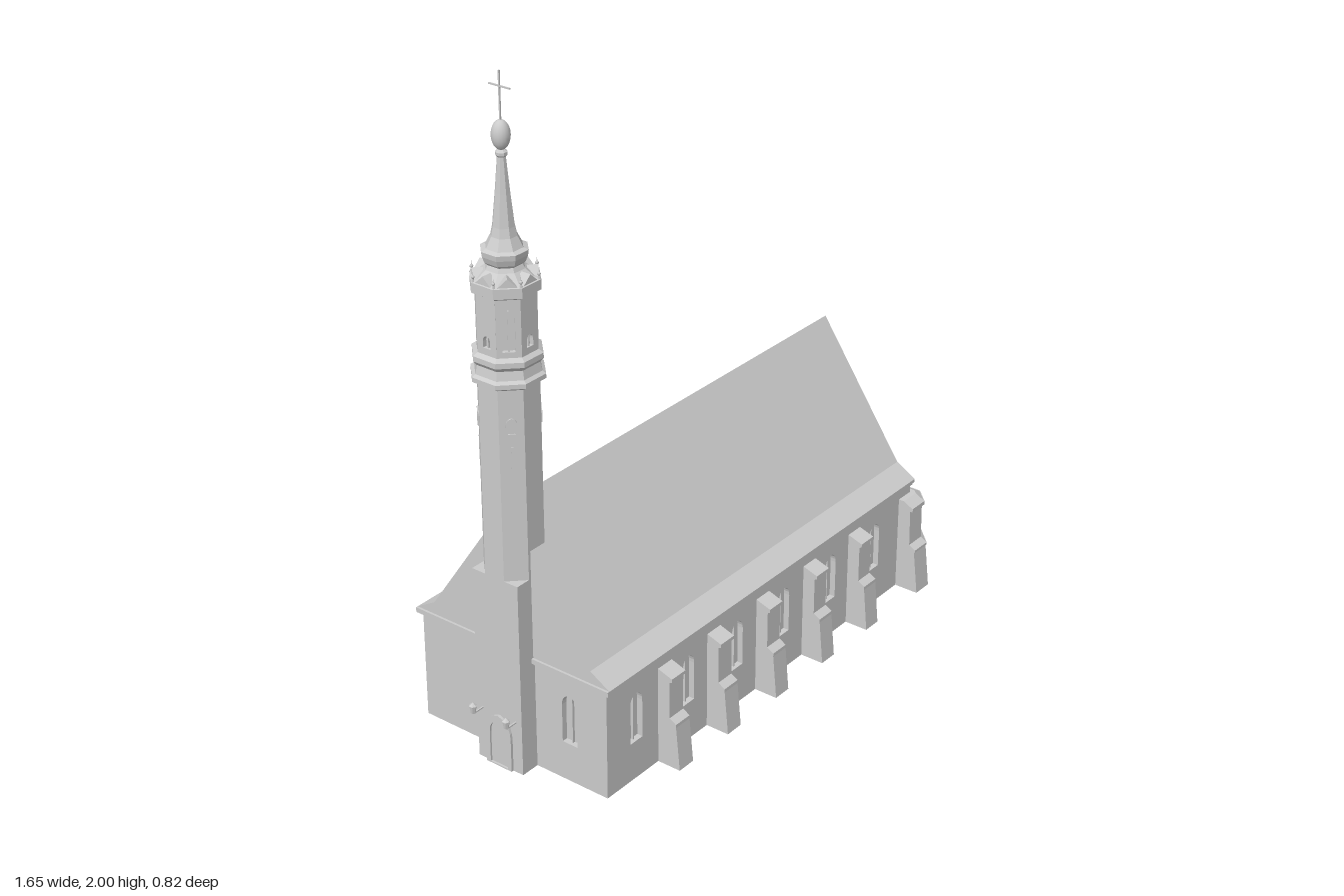
import * as THREE from 'three';
import { ConvexGeometry } from 'three/addons/geometries/ConvexGeometry.js';

const flat = new THREE.MeshStandardMaterial({ color: 0xcccccc, flatShading: true });
const smooth = new THREE.MeshStandardMaterial({ color: 0xcccccc });
const TOWER_X = -0.7;

function add(parent, name, geometry, x = 0, y = 0, z = 0, rotY = 0, material = flat) {
  const mesh = new THREE.Mesh(geometry, material);
  mesh.name = name;
  mesh.position.set(x, y, z);
  mesh.rotation.y = rotY;
  parent.add(mesh);
  return mesh;
}

function box(parent, name, x0, x1, y0, y1, z0, z1) {
  return add(parent, name, new THREE.BoxGeometry(x1 - x0, y1 - y0, z1 - z0),
    (x0 + x1) / 2, (y0 + y1) / 2, (z0 + z1) / 2);
}

const polygon = pts => new THREE.Shape(pts.map(p => new THREE.Vector2(...p)));
const extrude = (shape, depth) =>
  new THREE.ExtrudeGeometry(shape, { depth, bevelEnabled: false, curveSegments: 5 });

// Slightly pointed arch outline, w wide, from y0 up to y1
function arch(Kind, u, w, y0, y1) {
  const h = w / 2, spring = y1 - w * 0.7;
  const p = new Kind();
  p.moveTo(u - h, y0);
  p.lineTo(u + h, y0);
  p.lineTo(u + h, spring);
  p.quadraticCurveTo(u + h, y1 - w * 0.12, u, y1);
  p.quadraticCurveTo(u - h, y1 - w * 0.12, u - h, spring);
  p.closePath();
  return p;
}

// Upright wall panel with arched openings [u, width, bottom, top]; mullions optional
function wall(parent, name, half, y0, y1, t, dist, rotY, openings, mullions) {
  const g = new THREE.Group();
  g.name = name;
  g.rotation.y = rotY;
  const s = polygon([[-half, y0], [half, y0], [half, y1], [-half, y1]]);
  openings.forEach(o => s.holes.push(arch(THREE.Path, ...o)));
  add(g, 'wallPanel', extrude(s, t), 0, 0, dist - t);
  if (mullions) {
    for (const [u, , a, b] of openings) {
      box(g, 'mullion', u - 0.002, u + 0.002, a, b - 0.005, dist - t, dist - t + 0.008);
    }
  }
  parent.add(g);
  return g;
}

// Eight-sided turned body from [apothem, y] pairs
function octagon(parent, name, profile) {
  const k = 1 / Math.cos(Math.PI / 8);
  const pts = profile.map(([r, y]) => new THREE.Vector2(r * k, y));
  return add(parent, name, new THREE.LatheGeometry(pts, 8, Math.PI / 8));
}

function buildNave(root) {
  const nave = new THREE.Group();
  nave.name = 'nave';
  nave.position.x = 0.01;
  root.add(nave);

  // Walls around a solid core
  const t = 0.018, L = 0.73, W = 0.33;
  box(nave, 'core', -L + t, L - t, 0, 0.345, -W + t, W - t);
  const win = u => [u, 0.052, 0.12, 0.275];
  const south = [-0.595, -0.365, -0.14, 0.085, 0.32, 0.55].map(x => win(x - 0.01));
  const north = [-0.4, -0.13, 0.08, 0.3, 0.55].map(x => win(0.01 - x));
  wall(nave, 'southWall', L, 0, 0.345, t, W, 0, south, true);
  wall(nave, 'northWall', L, 0, 0.345, t, W, Math.PI, north, true);
  wall(nave, 'eastWall', W, 0, 0.345, t, L, Math.PI / 2, [win(-0.195), win(0.195)], true);
  wall(nave, 'westWall', W, 0, 0.345, t, L, -Math.PI / 2, [win(0.2)], true);

  // Roof with flared eaves
  const roof = polygon([[-0.345, 0.342], [0.345, 0.342], [0.345, 0.352], [0.28, 0.39],
    [0, 0.802], [-0.28, 0.39], [-0.345, 0.352]]);
  add(root, 'roof', extrude(roof, 1.465), 0.74, 0, 0, -Math.PI / 2);
  for (const s of [-1, 1]) {
    box(nave, 'eavesCornice', -L, L, 0.332, 0.342, s * 0.333 - 0.006, s * 0.333 + 0.006);
  }
  box(nave, 'westCornice', -L - 0.012, -L + 0.01, 0.337, 0.352, -0.345, 0.345);
}

function buildButtresses(root) {
  // Stepped south buttresses
  const stepped = polygon([[0.31, 0], [0.405, 0], [0.392, 0.135], [0.392, 0.145], [0.37, 0.158],
    [0.37, 0.272], [0.378, 0.276], [0.378, 0.286], [0.33, 0.302], [0.31, 0.302]]);
  for (const x of [-0.47, -0.25, -0.02, 0.21, 0.44]) {
    add(root, 'southButtress', extrude(stepped, 0.06), x + 0.03, 0, 0, -Math.PI / 2);
  }
  // Plain north buttresses with sloped tops
  const plain = polygon([[0.31, 0], [0.4, 0], [0.395, 0.255], [0.33, 0.285], [0.31, 0.285]]);
  for (const x of [-0.23, -0.015, 0.43]) {
    add(root, 'northButtress', extrude(plain, 0.065), x - 0.0325, 0, 0, Math.PI / 2);
  }
  // Tiered corner buttresses: [bottom, top, inset at bottom, inset at top]
  const tiers = [[0, 0.138, 0, 0.016], [0.138, 0.146, 0.012, 0.012], [0.146, 0.158, 0.014, 0.034],
    [0.158, 0.274, 0.034, 0.036], [0.274, 0.286, 0.027, 0.027], [0.286, 0.302, 0.03, 0.06]];
  const plan = (o, y, s) => [[0.68, 0.26], [0.68, 0.408 - o], [0.745, 0.408 - o], [0.818 - o, 0.335],
    [0.818 - o, 0.272], [0.7, 0.272]].map(([x, z]) => new THREE.Vector3(x, y, s * z));
  for (const s of [-1, 1]) {
    for (const [y0, y1, a, b] of tiers) {
      add(root, 'cornerButtress', new ConvexGeometry([...plan(a, y0, s), ...plan(b, y1, s)]));
    }
    // Tapering gable buttresses
    const pts = [];
    for (const [y, x, h] of [[0, 0.82, 0.038], [0.43, 0.742, 0.024]]) {
      for (const d of [-h, h]) {
        pts.push(new THREE.Vector3(0.72, y, s * 0.094 + d), new THREE.Vector3(x, y, s * 0.094 + d));
      }
    }
    add(root, 'gableButtress', new ConvexGeometry(pts));
  }
}

function buildTower(root) {
  // Square foot with a doorway and lamps
  box(root, 'towerFoot', -0.78, -0.7, 0, 0.6, -0.08, 0.08);
  const frame = arch(THREE.Shape, 0, 0.09, 0, 0.165);
  frame.holes.push(arch(THREE.Path, 0, 0.062, 0.004, 0.145));
  add(root, 'doorFrame', extrude(frame, 0.01), -0.778, 0, 0, -Math.PI / 2);
  add(root, 'door', extrude(arch(THREE.Shape, 0, 0.064, 0, 0.147), 0.004), -0.778, 0, 0, -Math.PI / 2);
  for (const s of [-1, 1]) {
    box(root, 'lampBracket', -0.82, -0.778, 0.163, 0.167, s * 0.06 - 0.002, s * 0.06 + 0.002);
    add(root, 'lamp', new THREE.CylinderGeometry(0.011, 0.007, 0.024, 6), -0.82, 0.18, s * 0.06);
    add(root, 'lampCap', new THREE.ConeGeometry(0.012, 0.01, 6), -0.82, 0.196, s * 0.06);
  }

  const tower = new THREE.Group();
  tower.name = 'tower';
  tower.position.x = TOWER_X;
  root.add(tower);

  // Shaft and the double string course
  octagon(tower, 'shaft', [[0, 0.5], [0.08, 0.5], [0.08, 1.165], [0.095, 1.175], [0.095, 1.188],
    [0.086, 1.195], [0.081, 1.22], [0.09, 1.232], [0.09, 1.247], [0.078, 1.256], [0, 1.256]]);
  octagon(tower, 'belfryCore', [[0.066, 1.25], [0.066, 1.43]]);

  for (let i = 0; i < 8; i++) {
    const a = i * Math.PI / 4;
    // Belfry faces: tall openings on the diagonals, small ones between
    const hole = i % 2 ? [0, 0.034, 1.272, 1.39] : [0, 0.024, 1.275, 1.31];
    wall(tower, 'belfryFace', 0.0322, 1.25, 1.425, 0.012, 0.078, a, [hole], true);

    // Framed shaft windows and slits
    const g = new THREE.Group();
    g.name = 'shaftOpenings';
    g.rotation.y = a;
    tower.add(g);
    if (i % 2) {
      const f = arch(THREE.Shape, 0, 0.03, 1.035, 1.085);
      f.holes.push(arch(THREE.Path, 0, 0.02, 1.04, 1.078));
      add(g, 'windowFrame', extrude(f, 0.005), 0, 0, 0.079);
      box(g, 'slit', -0.003, 0.003, 0.93, 1.0, 0.078, 0.082);
    }
    // Low gablet over each face
    const gablet = polygon([[-0.03, 1.45], [0.03, 1.45], [0, 1.478]]);
    add(g, 'gablet', extrude(gablet, 0.03), 0, 0, 0.055);

    // Pinnacles at the corners
    const b = a + Math.PI / 8, r = 0.09, x = Math.sin(b) * r, z = Math.cos(b) * r;
    add(tower, 'pinnacle', new THREE.ConeGeometry(0.004, 0.03, 6), x, 1.468, z);
    add(tower, 'pinnacleKnob', new THREE.SphereGeometry(0.005, 8, 6), x, 1.467, z, 0, smooth);
  }

  // Crowning cornice, lantern bulge and spire
  octagon(tower, 'spire', [[0.078, 1.418], [0.089, 1.425], [0.089, 1.453], [0.072, 1.458],
    [0.05, 1.478], [0.044, 1.49], [0.052, 1.498], [0.058, 1.515], [0.06, 1.53], [0.047, 1.535],
    [0.04, 1.55], [0.033, 1.565], [0.028, 1.59], [0.019, 1.68], [0.011, 1.775], [0.015, 1.78],
    [0.015, 1.788], [0.008, 1.794], [0, 1.8]]);

  // Ball and cross
  const ball = add(tower, 'ball', new THREE.SphereGeometry(0.025, 16, 12), 0, 1.832, 0, 0, smooth);
  ball.scale.y = 1.6;
  box(tower, 'crossPost', -0.002, 0.002, 1.86, 2, -0.002, 0.002);
  box(tower, 'crossBar', -0.002, 0.002, 1.957, 1.961, -0.035, 0.035);
}

export function createModel() {
  const root = new THREE.Group();
  root.name = 'church';
  buildNave(root);
  buildButtresses(root);
  buildTower(root);
  return root;
}
